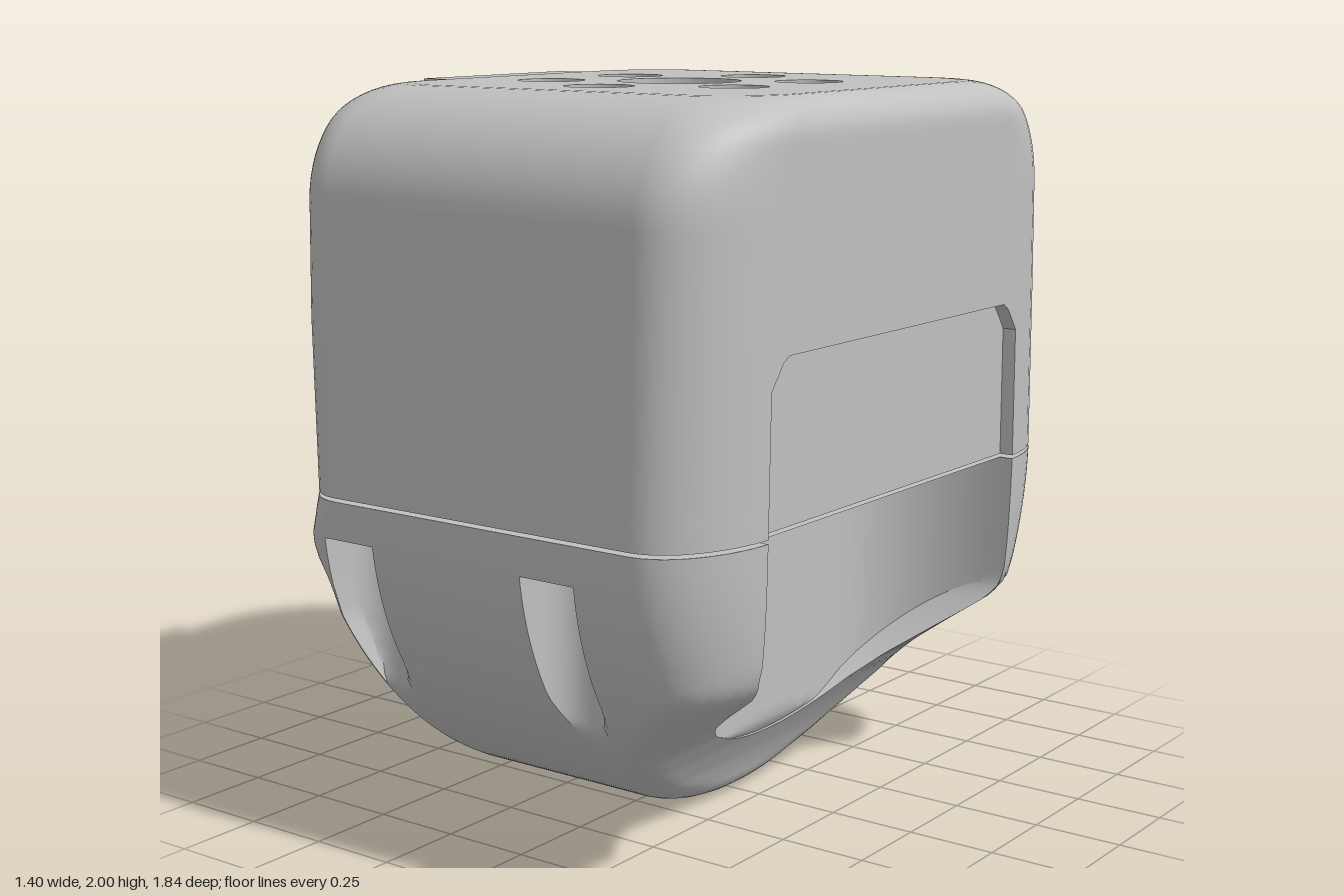
import * as THREE from 'three';
import { toCreasedNormals } from 'three/addons/utils/BufferGeometryUtils.js';

const { sqrt, sin, cos, abs, min, max, PI } = Math;
const SEAM = 0.935, LOW = 0.925, HALF = 0.92, RING = 0.72;

// piecewise linear lookup in [[y, value], ...]
function lerpTable(t, y) {
  if (y <= t[0][0]) return t[0][1];
  for (let i = 1; i < t.length; i++) {
    if (y <= t[i][0]) {
      const [y0, a] = t[i - 1], [y1, b] = t[i];
      return a + (b - a) * (y - y0) / (y1 - y0);
    }
  }
  return t[t.length - 1][1];
}

// outline of the two side faces, seen from the front
const LEFT = [[0, 0.18], [0.07, 0.2], [0.13, 0.23], [0.2, 0.275], [0.28, 0.335], [0.34, 0.4], [0.42, 0.51],
  [0.51, 0.64], [0.55, 0.675], [0.6, 0.69], [0.93, 0.697], [1.4, 0.7]];
const RIGHT = [[0, 0.43], [0.64, 0.595], [0.7, 0.62], [0.77, 0.662], [0.81, 0.675], [0.93, 0.68], [1.4, 0.7]];
const LEFT_RX = [[0, 0.07], [0.3, 0.07], [0.6, 0.2]];
const RIGHT_RX = [[0, 0.05], [0.6, 0.06], [0.82, 0.13], [0.93, 0.2]];
const EDGE_RZ = [[0, 0.06], [0.25, 0.06], [0.6, 0.32]];

const round = (t) => 1 - sqrt(max(0, 1 - t * t));
const face = (s, y) => lerpTable(s > 0 ? LEFT : RIGHT, y) - 0.1 * round(min(1, max(0, (y - 1.9) / 0.1)));
const edgeRx = (s, y) => lerpTable(s > 0 ? LEFT_RX : RIGHT_RX, y);
const halfDepth = (y) => y < 1.7 ? 0.92 - 0.02 * (y - 0.93) / 0.77 : 0.9 - 0.32 * round(min(1, (y - 1.7) / 0.3));

// quads between neighbouring columns of points
function addGrid(out, cols, flip) {
  for (let i = 0; i + 1 < cols.length; i++) {
    for (let j = 0; j + 1 < cols[i].length; j++) {
      const a = cols[i][j], b = cols[i + 1][j], c = cols[i + 1][j + 1], d = cols[i][j + 1];
      const tris = flip ? [a, b, c, a, c, d] : [a, c, b, a, d, c];
      for (const p of tris) out.push(p.x, p.y, p.z);
    }
  }
}

function shell(positions) {
  const g = new THREE.BufferGeometry();
  g.setAttribute('position', new THREE.Float32BufferAttribute(positions, 3));
  return toCreasedNormals(g, 0.6);
}

// one side face of the upper housing with its shallow recess
function upperSide(s) {
  const e = (s > 0 ? 0.62 : RING) / HALF, depth = s > 0 ? 0.04 : 0.01;
  const columns = [];
  for (let i = 0; i <= 10; i++) columns.push([-(e + (1 - e) * cos(i * PI / 20)), false]);
  for (let i = 0; i <= 32; i++) columns.push([-e * cos(i * PI / 32), true]);
  for (let i = 0; i <= 10; i++) columns.push([e + (1 - e) * sin(i * PI / 20), false]);
  return columns.map(([w, recessed]) => {
    const z = abs(w) * HALF;
    let edge = 1.3;
    if (recessed) edge = s > 0 ? 1.38 - max(0, z - 0.56) * 1.33 : SEAM + sqrt(max(0, RING * RING - z * z));
    const col = [];
    const put = (y, d) => {
      const x = face(s, y) - 0.2 * round(max(0, (abs(w) - 0.65) / 0.35)) - d;
      col.push(new THREE.Vector3(s * x, y, w * halfDepth(y)));
    };
    for (let j = 0; j <= 6; j++) put(SEAM + (edge - SEAM) * j / 6, recessed ? depth : 0);
    for (let j = 0; j <= 28; j++) put(edge + (2 - edge) * sin(j * PI / 56), 0);
    return col;
  });
}

// one side face of the lower housing, swept around the seam centre, with its pocket
function lowerSide(s, thetas) {
  return thetas.map(([th]) => {
    const col = [];
    const rim = s > 0 ? min(RING / HALF, 0.62 / HALF / max(0.01, abs(cos(th)))) : RING / HALF;
    const put = (rho, pocket) => {
      const z = HALF * rho * cos(th), y = LOW - LOW * rho * sin(th);
      const rz = lerpTable(EDGE_RZ, y), t = max(0, (rz - (1 - rho) * HALF) / rz);
      let x = face(s, y) - edgeRx(s, y) * round(min(1, t));
      if (pocket) {
        const floor = s > 0 ? 0.29 + 0.4 * round(min(1, max(0, (abs(z) - 0.32) / 0.3))) : 0.5;
        x = min(x - 0.01, floor);
      }
      col.push(new THREE.Vector3(s * x, y, z));
    };
    for (let k = 0; k <= 14; k++) put(1 - (1 - rim) * (1 - cos(k * PI / 28)), false);
    for (let k = 0; k <= 14; k++) put(rim * cos(k * PI / 28), true);
    return col;
  });
}

// rounded belly with two upright grooves at the front and back
function belly(thetas) {
  const r = 0.086, stops = [[-9, null]];
  for (const xc of [-0.44, 0.235]) {
    stops.push([xc - r, null]);
    for (let i = 0; i <= 12; i++) stops.push([xc - r * cos(i * PI / 12), xc]);
    stops.push([xc + r, null]);
  }
  stops.push([9, null]);
  return thetas.map(([th, grooved]) => {
    const y = LOW - LOW * sin(th), z = HALF * cos(th);
    const a = -face(-1, y) + edgeRx(-1, y), b = face(1, y) - edgeRx(1, y);
    return stops.map(([x, xc]) => {
      let depth = abs(z);
      if (grooved && xc !== null) depth = min(depth, 0.825 - sqrt(max(0, r * r - (x - xc) ** 2)));
      return new THREE.Vector3(min(b, max(a, x)), y, z < 0 ? -depth : depth);
    });
  });
}

// flat lid bounded by one row of both side faces
function lid(left, right, row, holes = []) {
  const pts = [...left.map((c) => c[row]), ...right.map((c) => c[row]).reverse()];
  const shape = new THREE.Shape(pts.map((p) => new THREE.Vector2(p.x, p.z)));
  for (const h of holes) {
    const path = new THREE.Path();
    path.absarc(h.x, h.z, h.r, 0, 2 * PI, true);
    shape.holes.push(path);
  }
  return new THREE.ShapeGeometry(shape, 20).rotateX(PI / 2).translate(0, pts[0].y, 0);
}

export function createModel() {
  const model = new THREE.Group();
  const grey = new THREE.MeshStandardMaterial({ color: 0xc0c0c0, side: THREE.DoubleSide });
  grey.name = 'grey plastic';
  const add = (name, geometry) => {
    const mesh = new THREE.Mesh(geometry, grey);
    mesh.name = name;
    model.add(mesh);
    return mesh;
  };

  // upper housing
  const left = upperSide(1), right = upperSide(-1), upper = [];
  const last = left.length - 1, topRow = left[0].length - 1;
  addGrid(upper, left, false);
  addGrid(upper, right, true);
  addGrid(upper, [right[0], left[0]], false);
  addGrid(upper, [right[last], left[last]], true);
  add('upperHousing', shell(upper));
  add('upperHousingBase', lid(left, right, 0));

  // mounting face with a centre bore and six bolt holes
  const holes = [{ x: -0.03, z: 0, r: 0.17, depth: 0.1 }];
  for (let i = 0; i < 6; i++) {
    const a = PI / 6 + i * PI / 3;
    holes.push({ x: -0.03 + 0.355 * cos(a), z: 0.355 * sin(a), r: 0.093, depth: 0.06 });
  }
  add('mountingFace', lid(left, right, topRow, holes));
  for (const h of holes) {
    add('holeWall', new THREE.CylinderGeometry(h.r, h.r, h.depth, 40, 1, true).translate(h.x, 2 - h.depth / 2, h.z));
    add('holeFloor', new THREE.CircleGeometry(h.r, 40).rotateX(-PI / 2).translate(h.x, 2 - h.depth, h.z));
  }

  // square tab on the top right edge
  const tab = new THREE.Shape([[-0.58, 1.999], [-0.7, 1.999], [-0.7, 1.85], [-0.64, 1.88]]
    .map(([x, y]) => new THREE.Vector2(x, y)));
  add('edgeTab', new THREE.ExtrudeGeometry(tab, { depth: 0.6, bevelEnabled: false }).translate(0, 0, -0.3));

  // lower housing: angles around the belly, doubled where the grooves begin
  const start = Math.asin((LOW - 0.82) / LOW), thetas = [];
  for (let i = 0; i <= 3; i++) thetas.push([start * i / 3, false]);
  for (let i = 0; i <= 80; i++) thetas.push([start + (PI - 2 * start) * i / 80, true]);
  for (let i = 0; i <= 3; i++) thetas.push([PI - start + start * i / 3, false]);
  const lower = [];
  addGrid(lower, lowerSide(1, thetas), true);
  addGrid(lower, lowerSide(-1, thetas), false);
  addGrid(lower, belly(thetas), true);
  add('lowerHousing', shell(lower));
  add('lowerHousingLid', lid(left, right, 0).translate(0, LOW - SEAM, 0));

  return model;
}
